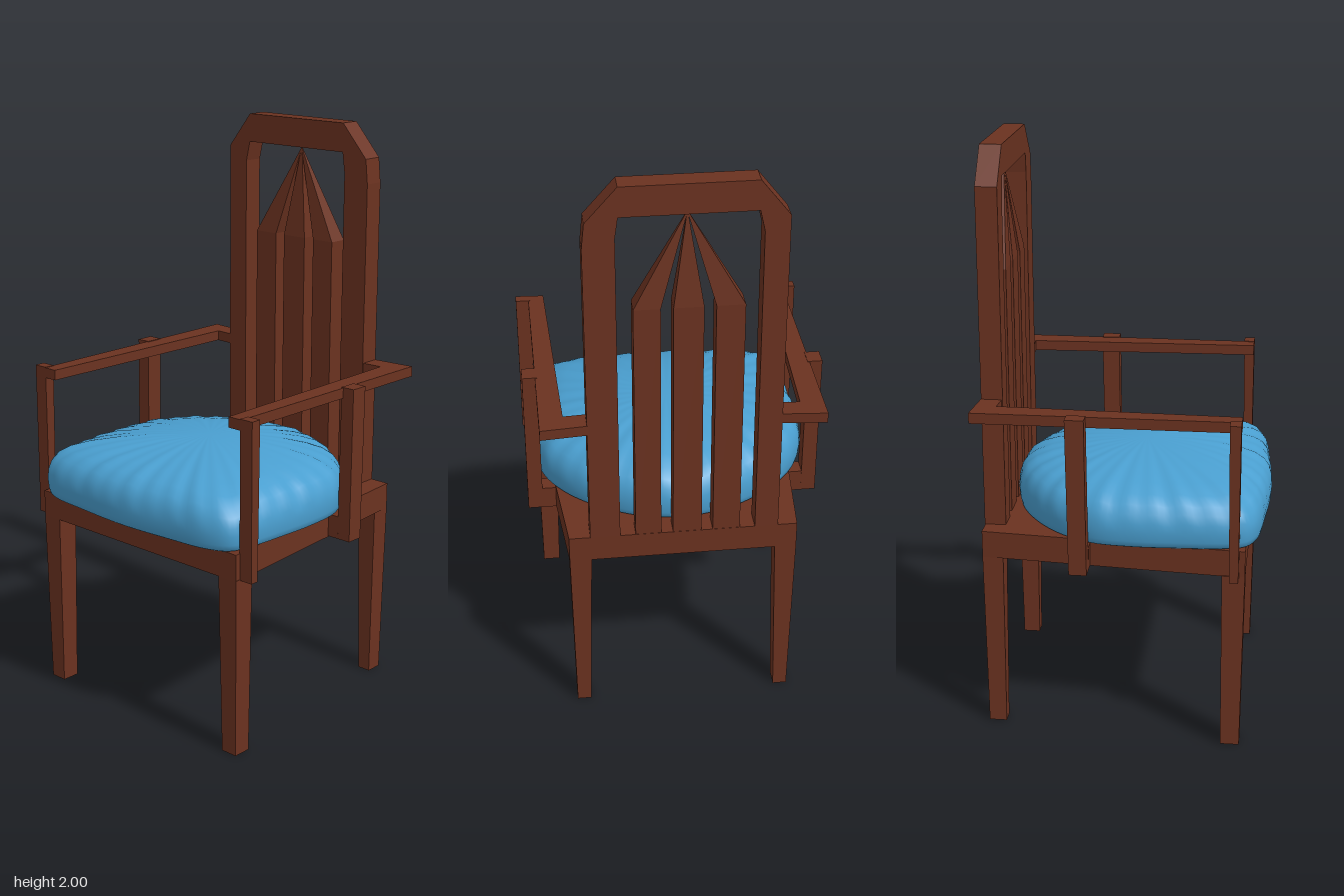
import * as THREE from 'three';
import { mergeVertices } from 'three/addons/utils/BufferGeometryUtils.js';

const wood = new THREE.MeshStandardMaterial({ color: 0x6b3220, flatShading: true });
const fabric = new THREE.MeshStandardMaterial({ color: 0x4a9fd0 });

function add(parent, name, geometry, material = wood) {
  const mesh = new THREE.Mesh(geometry, material);
  mesh.name = name;
  parent.add(mesh);
  return mesh;
}

// Four-sided bar through rectangular sections [y, x0, x1, z0, z1], listed upwards
function bar(...sections) {
  const n = sections.length - 1;
  const geo = new THREE.BoxGeometry(1, 1, 1, 1, n, 1);
  const p = geo.attributes.position;
  for (let i = 0; i < p.count; i++) {
    const [y, x0, x1, z0, z1] = sections[Math.round((p.getY(i) + 0.5) * n)];
    p.setXYZ(i, p.getX(i) < 0 ? x0 : x1, y, p.getZ(i) < 0 ? z0 : z1);
  }
  geo.computeVertexNormals();
  return geo;
}

const shapeOf = (points) => new THREE.Shape(points.map(([x, y]) => new THREE.Vector2(x, y)));

// Horizontal slab from a plan outline of [x, z] points
function slab(points, y0, y1) {
  const geo = new THREE.ExtrudeGeometry(shapeOf(points.map(([x, z]) => [x, -z])),
    { depth: y1 - y0, bevelEnabled: false });
  return geo.rotateX(-Math.PI / 2).translate(0, y0, 0);
}

// Cushion: a lathe whose rings follow a rounded D outline, with gathered pleats
function cushionGeometry() {
  const half = [[0, 0.49], [0.2, 0.478], [0.37, 0.458], [0.44, 0.42], [0.462, 0.34], [0.473, 0.2],
    [0.477, 0.05], [0.46, -0.09], [0.4, -0.2], [0.3, -0.297], [0.16, -0.375], [0, -0.405]];
  const other = half.slice(1, -1).reverse().map(([x, z]) => [-x, z]);
  const loop = [...half, ...other].map(([x, z]) => new THREE.Vector3(x, 0, z));
  const segments = 160, centreZ = 0.05;
  const outline = new THREE.CatmullRomCurve3(loop, true).getSpacedPoints(segments);

  const profile = [[0, 0.72], [0.965, 0.72], [0.985, 0.725], [0.995, 0.745], [1, 0.775], [0.995, 0.805],
    [0.975, 0.835], [0.935, 0.862], [0.86, 0.886], [0.74, 0.906], [0.56, 0.924], [0.36, 0.937],
    [0.16, 0.943], [0, 0.945]];
  let geo = new THREE.LatheGeometry(profile.map(([r, y]) => new THREE.Vector2(r, y)), segments);
  const p = geo.attributes.position;
  for (let i = 0; i < p.count; i++) {
    const col = Math.floor(i / profile.length) % segments;
    const [r, y] = profile[i % profile.length];
    const edge = outline[col];
    const a = (col / segments) * Math.PI * 2;
    const pleat = y > 0.78 ? 0.004 * r * r * (Math.sin(a * 32) + 0.6 * Math.sin(a * 19 + 1)) : 0;
    p.setXYZ(i, edge.x * r, y + pleat, centreZ + (edge.z - centreZ) * r);
  }
  geo.deleteAttribute('normal');
  geo.deleteAttribute('uv');
  geo = mergeVertices(geo, 1e-5);
  geo.computeVertexNormals();
  return geo;
}

export function createModel() {
  const chair = new THREE.Group();
  chair.name = 'armchair';

  // Seat board, narrower at the back
  add(chair, 'seat', slab([[-0.462, 0.42], [0.462, 0.42], [0.386, -0.473], [-0.386, -0.473]], 0.627, 0.72));
  add(chair, 'cushion', cushionGeometry(), fabric);

  // Backrest frame with cut corners
  const frame = shapeOf([[-0.32, 0.72], [-0.32, 1.88], [-0.225, 2], [0.204, 2], [0.306, 1.885], [0.315, 1.8],
    [0.315, 0.72], [0.214, 0.72], [0.214, 1.83], [0.204, 1.9], [-0.225, 1.9], [-0.241, 1.83], [-0.241, 0.72]]);
  const frameGeo = new THREE.ExtrudeGeometry(frame, { depth: 0.073, bevelEnabled: false });
  add(chair, 'backFrame', frameGeo.translate(0, 0, -0.475));

  // Three slats whose tips meet at one point
  for (const [x0, x1] of [[-0.19, -0.098], [-0.06, 0.036], [0.076, 0.162]]) {
    add(chair, 'backSlat', bar([0.72, x0, x1, -0.472, -0.405], [1.58, x0, x1, -0.472, -0.405],
      [1.895, -0.01, -0.008, -0.44, -0.437]));
  }

  for (const side of [1, -1]) {
    const label = side > 0 ? 'left' : 'right';
    const group = new THREE.Group();
    group.name = label + 'Side';
    chair.add(group);

    // Mirrors a section across x
    const m = ([y, x0, x1, z0, z1]) => (side > 0 ? [y, x0, x1, z0, z1] : [y, -x1, -x0, z0, z1]);

    // Tapered legs
    add(group, label + 'FrontLeg', bar(m([0, 0.394, 0.455, 0.348, 0.412]), m([0.63, 0.385, 0.462, 0.343, 0.42])));
    add(group, label + 'BackLeg', bar(m([0, 0.328, 0.376, -0.467, -0.407]), m([0.63, 0.312, 0.386, -0.473, -0.402])));

    // Armrest, turning in to the back frame
    const arm = [[0.41, 0.4], [0.465, 0.4], [0.467, -0.488], [0.31, -0.475], [0.31, -0.405], [0.388, -0.41]];
    add(group, label + 'Armrest', slab(arm.map(([x, z]) => [x * side, z]), 1.132, 1.168));

    // Arm posts outside the seat, the rear one with a foot reaching in to it
    add(group, label + 'FrontArmPost', bar(m([0.627, 0.459, 0.51, 0.37, 0.4]), m([1.17, 0.459, 0.51, 0.363, 0.4])));
    add(group, label + 'RearArmPost', bar(m([0.63, 0.459, 0.51, -0.16, -0.1]), m([1.17, 0.459, 0.51, -0.168, -0.105])));
    add(group, label + 'RearPostFoot', bar(m([0.63, 0.39, 0.46, -0.16, -0.1]), m([0.71, 0.39, 0.46, -0.16, -0.1])));
  }
  return chair;
}
